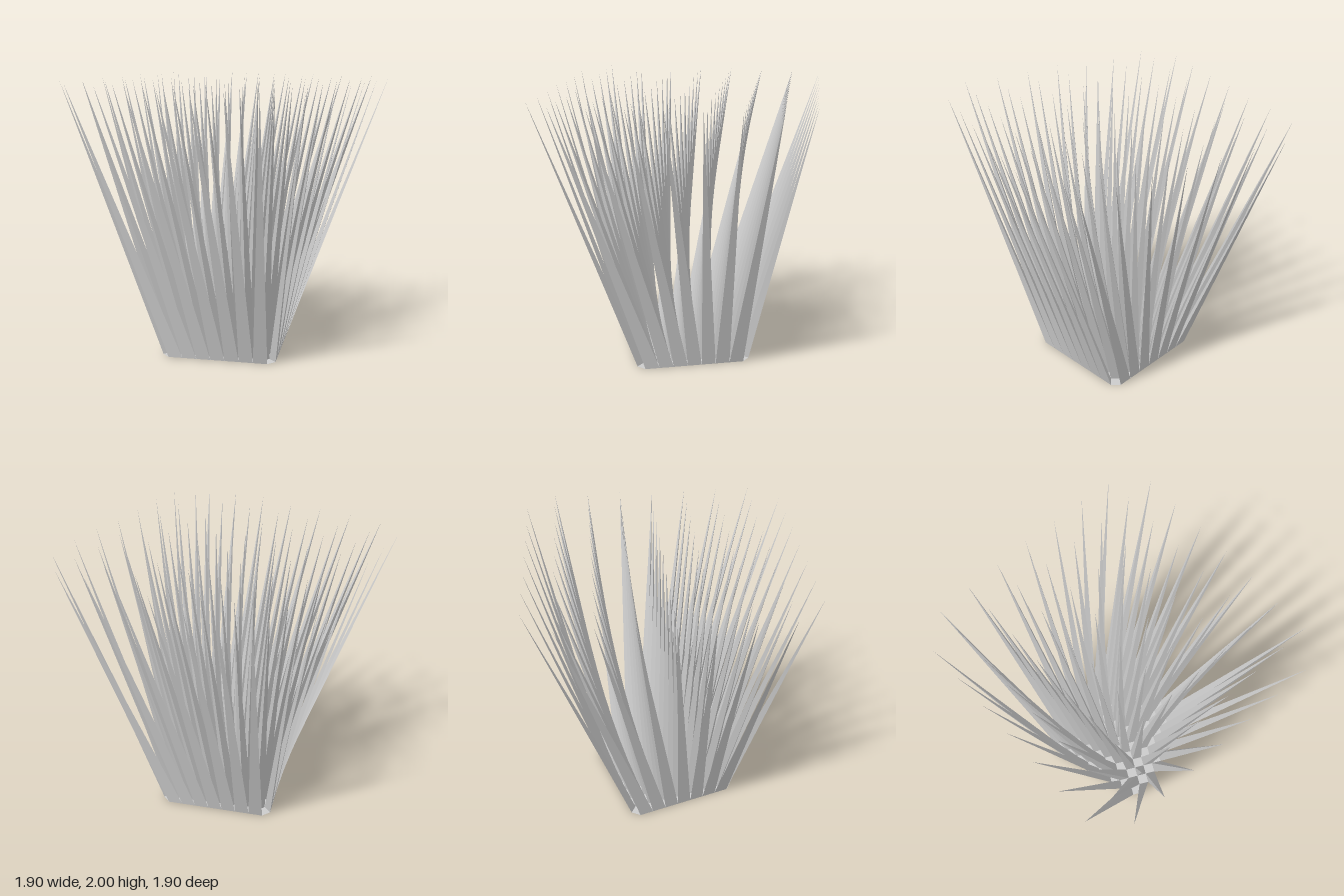
import * as THREE from 'three';

const HALF = 4;            // lattice runs from -4 to 4
const BASE_PITCH = 0.1044; // lattice spacing on the floor
const TIP_PITCH = 0.2475;  // lattice spacing of the tips
const HEIGHT = 2;
const TWIST = THREE.MathUtils.degToRad(18);

// Lattice point on the floor, turned by the twist
function basePoint([u, v]) {
  return new THREE.Vector3(u * BASE_PITCH, 0, v * BASE_PITCH)
    .applyAxisAngle(new THREE.Vector3(0, 1, 0), TWIST);
}

// Diamond around a lattice point, cut off at the border of the square
function diamond(i, j) {
  return [[0.5, 0], [0, -0.5], [-0.5, 0], [0, 0.5]]
    .map(([a, b]) => [i + a, j + b])
    .filter(([u, v]) => Math.abs(u) <= HALF && Math.abs(v) <= HALF);
}

// Open pyramid from a floor polygon to a tip above its untwisted, spread centroid
function addSpike(points, corners) {
  const n = corners.length;
  const mean = k => corners.reduce((sum, c) => sum + c[k], 0) / n;
  const tip = new THREE.Vector3(mean(0) * TIP_PITCH, HEIGHT, mean(1) * TIP_PITCH);
  const ring = corners.map(basePoint);
  ring.forEach((p, k) => points.push(p, ring[(k + 1) % n], tip));
}

function makeMesh(name, points, material) {
  const geometry = new THREE.BufferGeometry().setFromPoints(points);
  geometry.computeVertexNormals();
  const mesh = new THREE.Mesh(geometry, material);
  mesh.name = name;
  return mesh;
}

export function createModel() {
  const group = new THREE.Group();
  group.name = 'twistedSpikes';
  const material = new THREE.MeshStandardMaterial({
    color: 0xcccccc, flatShading: true, side: THREE.DoubleSide,
  });

  // Four-sided spikes inside, three-sided ones along the border, none at the corners
  const inner = [], border = [];
  for (let i = -HALF; i <= HALF; i++) {
    for (let j = -HALF; j <= HALF; j++) {
      const corners = diamond(i, j);
      if (corners.length === 4) addSpike(inner, corners);
      else if (corners.length === 3) addSpike(border, corners);
    }
  }

  // Flat floor tiles between the spikes
  const floor = [];
  for (let i = -HALF; i < HALF; i++) {
    for (let j = -HALF; j < HALF; j++) {
      const [a, b, c, d] = diamond(i + 0.5, j + 0.5).map(basePoint);
      floor.push(a, b, c, a, c, d);
    }
  }

  group.add(
    makeMesh('innerSpikes', inner, material),
    makeMesh('borderSpikes', border, material),
    makeMesh('floorTiles', floor, material),
  );
  return group;
}
